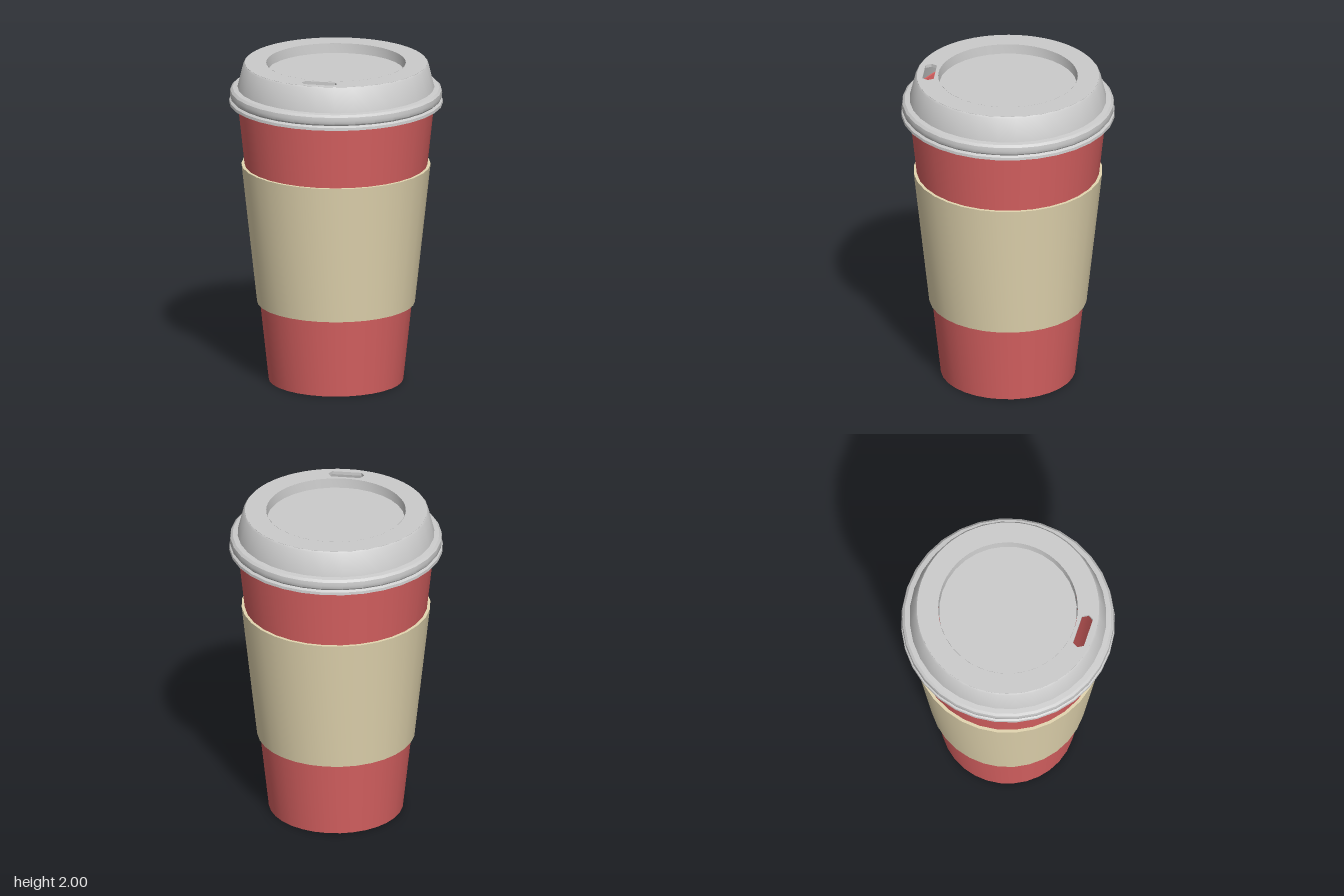
import * as THREE from 'three';
import { toCreasedNormals } from 'three/addons/utils/BufferGeometryUtils.js';

const SEGMENTS = 32;

const material = (color) => new THREE.MeshStandardMaterial({ color, side: THREE.DoubleSide });

function addPart(group, name, geometry, mat) {
  const mesh = new THREE.Mesh(toCreasedNormals(geometry, 0.6), mat);
  mesh.name = name;
  group.add(mesh);
  return mesh;
}

// Revolve [radius, height] pairs about the y axis
const turned = (profile) =>
  new THREE.LatheGeometry(profile.map(([r, y]) => new THREE.Vector2(r, y)), SEGMENTS);

export function createModel() {
  const model = new THREE.Group();
  model.name = 'takeawayCup';
  const red = material(0xd96262);
  const tan = material(0xe3d6b0);
  const grey = material(0xcccccc);

  // Tapered cup with a raised floor and an open foot
  addPart(model, 'cup', turned([
    [0, 0.17], [0.417, 0.17], [0.4, 0], [0.41, 0],
    [0.607, 1.82], [0.595, 1.82], [0.419, 0.19], [0, 0.19],
  ]), red);

  // Cardboard band wrapped around the middle
  addPart(model, 'sleeve', turned([
    [0.462, 0.49], [0.481, 0.49], [0.576, 1.36], [0.556, 1.36], [0.462, 0.49],
  ]), tan);

  const lid = new THREE.Group();
  lid.name = 'lid';
  model.add(lid);

  // Lid skirt: inner skin, flared lip, rounded bead, then the sloping wall
  addPart(lid, 'lidSkirt', turned([
    [0.552, 1.98], [0.588, 1.835], [0.62, 1.83], [0.632, 1.75],
    [0.652, 1.75], [0.65, 1.767], [0.636, 1.777], [0.645, 1.788],
    [0.647, 1.81], [0.644, 1.83], [0.63, 1.843], [0.6, 1.847],
    [0.565, 1.99], [0.555, 2],
  ]), grey);

  // Flat top ring pierced by the sip hole
  const ring = new THREE.Shape().absarc(0, 0, 0.555, 0, Math.PI * 2);
  ring.holes.push(
    new THREE.Path().absarc(0, 0, 0.425, 0, Math.PI * 2),
    new THREE.Path([
      [-0.11, -0.48], [-0.09, -0.445], [0.09, -0.445],
      [0.11, -0.48], [0.09, -0.515], [-0.09, -0.515],
    ].map(([x, y]) => new THREE.Vector2(x, y))),
  );
  const ringGeometry = new THREE.ExtrudeGeometry(ring, {
    depth: 0.02, bevelEnabled: false, curveSegments: SEGMENTS,
  });
  ringGeometry.rotateX(-Math.PI / 2).translate(0, 1.98, 0);
  addPart(lid, 'lidTopRing', ringGeometry, grey);

  // Sunken centre of the lid
  addPart(lid, 'lidRecess', turned([[0.425, 2], [0.42, 1.94], [0, 1.94]]), grey);

  return model;
}
